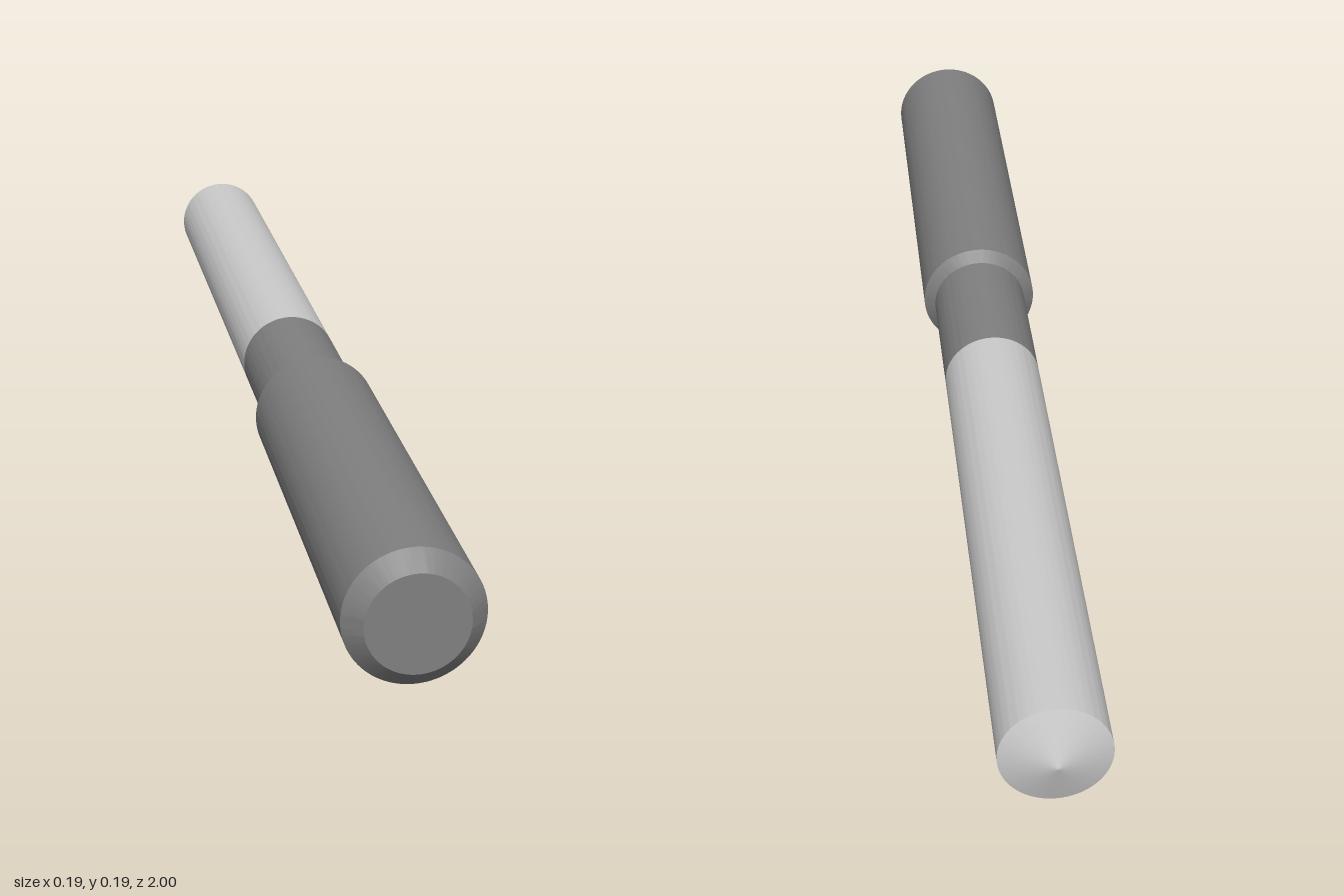
import * as THREE from 'three';
import { toCreasedNormals } from 'three/addons/utils/BufferGeometryUtils.js';

const RADIUS = 0.097; // shank
const NECK = 0.079; // neck and cutting body
const JOINT = -0.045; // where the neck meets the cutting body

// Turned part along z from [radius, z] pairs, listed back to front
function turned(name, profile, color) {
  const points = profile.map(([r, z]) => new THREE.Vector2(r, z));
  const geometry = new THREE.LatheGeometry(points, 96);
  geometry.rotateX(Math.PI / 2);
  const mesh = new THREE.Mesh(
    toCreasedNormals(geometry, 0.25),
    new THREE.MeshStandardMaterial({ color })
  );
  mesh.name = name;
  mesh.position.y = RADIUS;
  return mesh;
}

export function createModel() {
  const group = new THREE.Group();
  group.name = 'drillBit';

  // Cutting body with a shallow conical tip at the back
  group.add(turned('cuttingBody', [[0, -1], [NECK, -0.971], [NECK, JOINT]], 0xcccccc));

  // Neck, sloped shoulder and thick shank with a chamfered flat end
  group.add(turned('shank', [
    [NECK, JOINT],
    [NECK, 0.205],
    [RADIUS, 0.221],
    [RADIUS, 0.975],
    [0.071, 1],
    [0, 1],
  ], 0x808080));

  return group;
}
